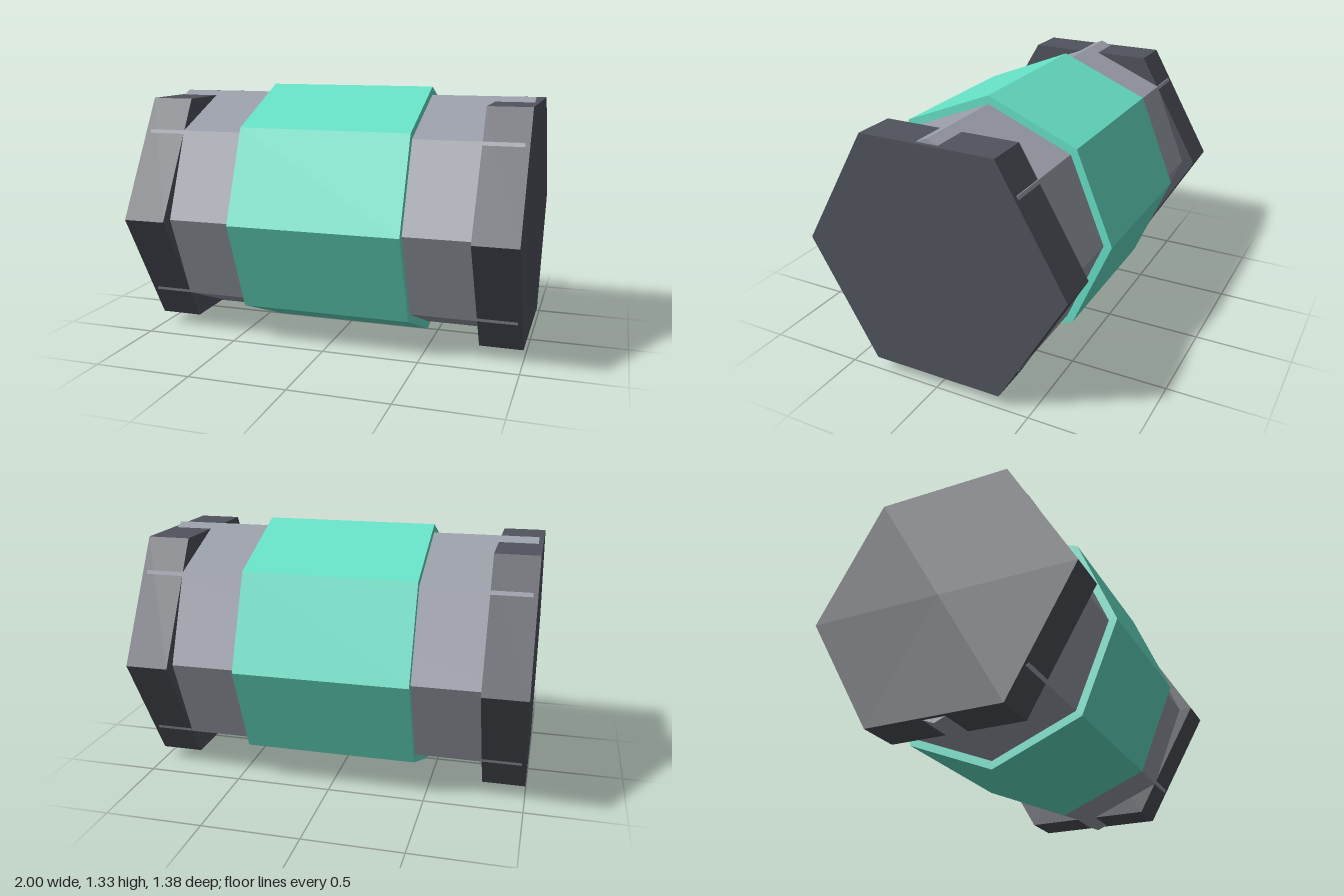
import * as THREE from 'three';

const CENTRE_Y = 0.667;

// Faceted prism lying along the x axis, with a corner pointing to +z
function prism(name, radius, length, sides, color, x = 0) {
  const geometry = new THREE.CylinderGeometry(radius, radius, length, sides);
  geometry.rotateZ(Math.PI / 2);
  const mesh = new THREE.Mesh(
    geometry,
    new THREE.MeshStandardMaterial({ color, flatShading: true })
  );
  mesh.name = name;
  mesh.position.set(x, CENTRE_Y, 0);
  return mesh;
}

export function createModel() {
  const model = new THREE.Group();
  model.name = 'canister';

  // Octagonal core running almost the full length
  model.add(prism('core', 0.622, 1.955, 8, 0x9a9ea8));

  // Wider coloured band around the middle
  model.add(prism('sleeve', 0.665, 0.885, 8, 0x66e0c6));

  // Hexagonal caps, leaving the core's top and bottom ridges exposed
  for (const side of [-1, 1]) {
    model.add(prism(side > 0 ? 'leftCap' : 'rightCap', 0.691, 0.22, 6, 0x50535c, side * 0.89));
  }

  return model;
}
